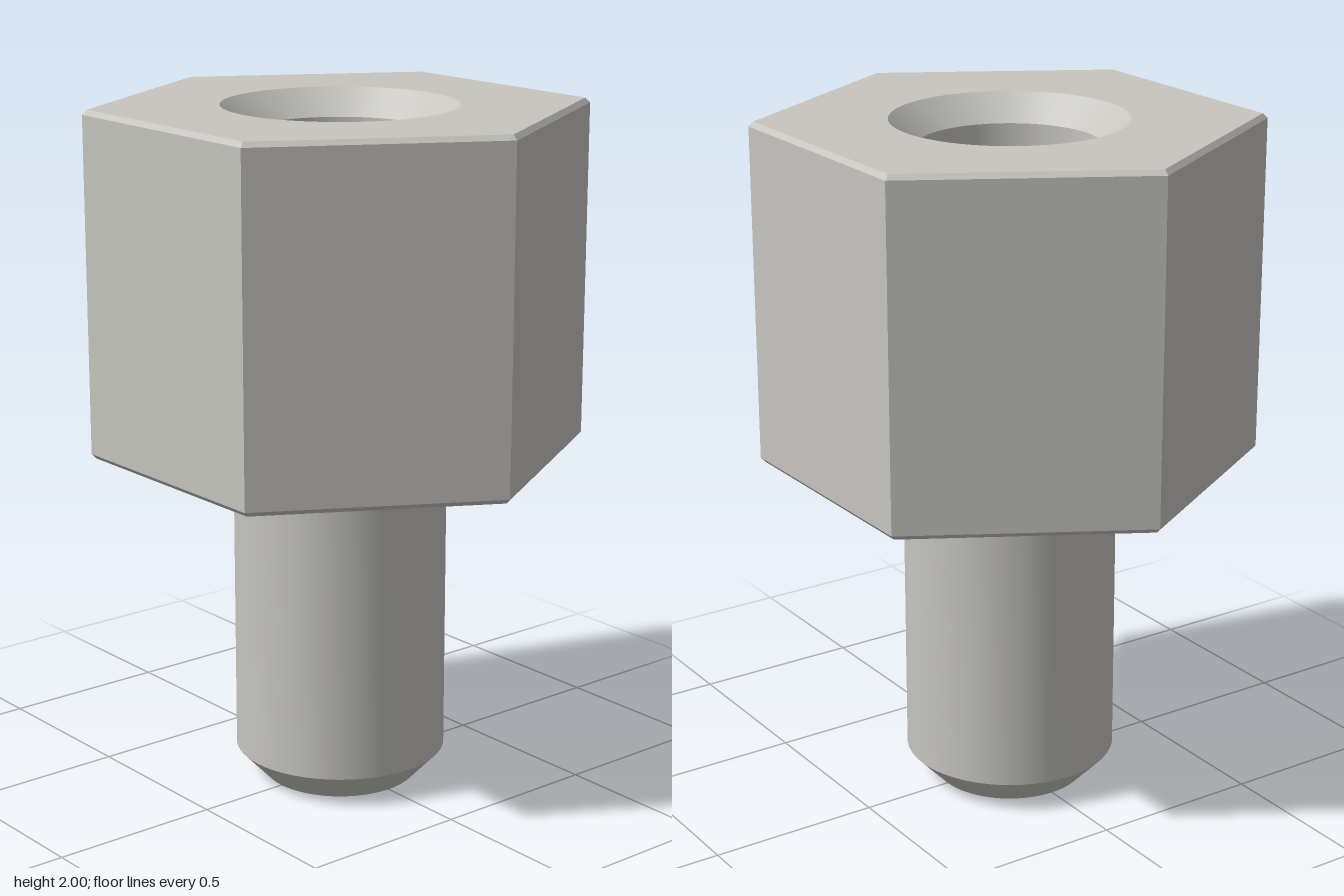
import * as THREE from 'three';
import { toCreasedNormals } from 'three/addons/utils/BufferGeometryUtils.js';

const HEX_R = 0.72;       // across-corners radius of the hexagon
const BEVEL = 0.014;      // small edge break on the hexagon
const RIM_R = 0.337;      // countersink radius at the top face
const HOLE_R = 0.26;

// Revolved profile with crisp edges between its sections
function turned(profile, segments, start = 0) {
  const points = profile.map(([r, y]) => new THREE.Vector2(r, y));
  return toCreasedNormals(new THREE.LatheGeometry(points, segments, start), Math.PI / 6);
}

function hexagon(radius) {
  const shape = new THREE.Shape();
  for (let i = 0; i < 6; i++) {
    const a = (i * Math.PI) / 3;
    shape[i ? 'lineTo' : 'moveTo'](radius * Math.cos(a), radius * Math.sin(a));
  }
  return shape.closePath();
}

export function createModel() {
  const model = new THREE.Group();
  model.name = 'hexStandoff';
  const metal = new THREE.MeshStandardMaterial({ color: 0xc6c5c0 });
  metal.name = 'satin metal';

  const add = (name, geometry) => {
    const mesh = new THREE.Mesh(geometry, metal);
    mesh.name = name;
    model.add(mesh);
  };

  // Six flats with bevelled top and bottom edges
  add('hexSides', turned([
    [HEX_R - BEVEL, 1], [HEX_R, 1 + BEVEL], [HEX_R, 2 - BEVEL], [HEX_R - BEVEL, 2],
  ], 6, Math.PI / 2));

  // Top face, open around the countersink
  const top = hexagon(HEX_R - BEVEL);
  top.holes.push(new THREE.Path().absarc(0, 0, RIM_R, 0, Math.PI * 2, true));
  add('hexTop', new THREE.ShapeGeometry(top, 32).rotateX(-Math.PI / 2).translate(0, 2, 0));

  // Underside shoulder
  add('hexUnderside', new THREE.ShapeGeometry(hexagon(HEX_R - BEVEL)).rotateX(Math.PI / 2).translate(0, 1, 0));

  // Countersunk blind hole, profiled from rim to floor
  add('hole', turned([
    [RIM_R, 2], [HOLE_R, 2 - (RIM_R - HOLE_R)], [HOLE_R, 1.2], [0, 1.2],
  ], 64));

  // Stud with a chamfered tip
  add('stud', turned([[0, 0], [0.225, 0], [0.31, 0.09], [0.31, 1]], 64));

  return model;
}
